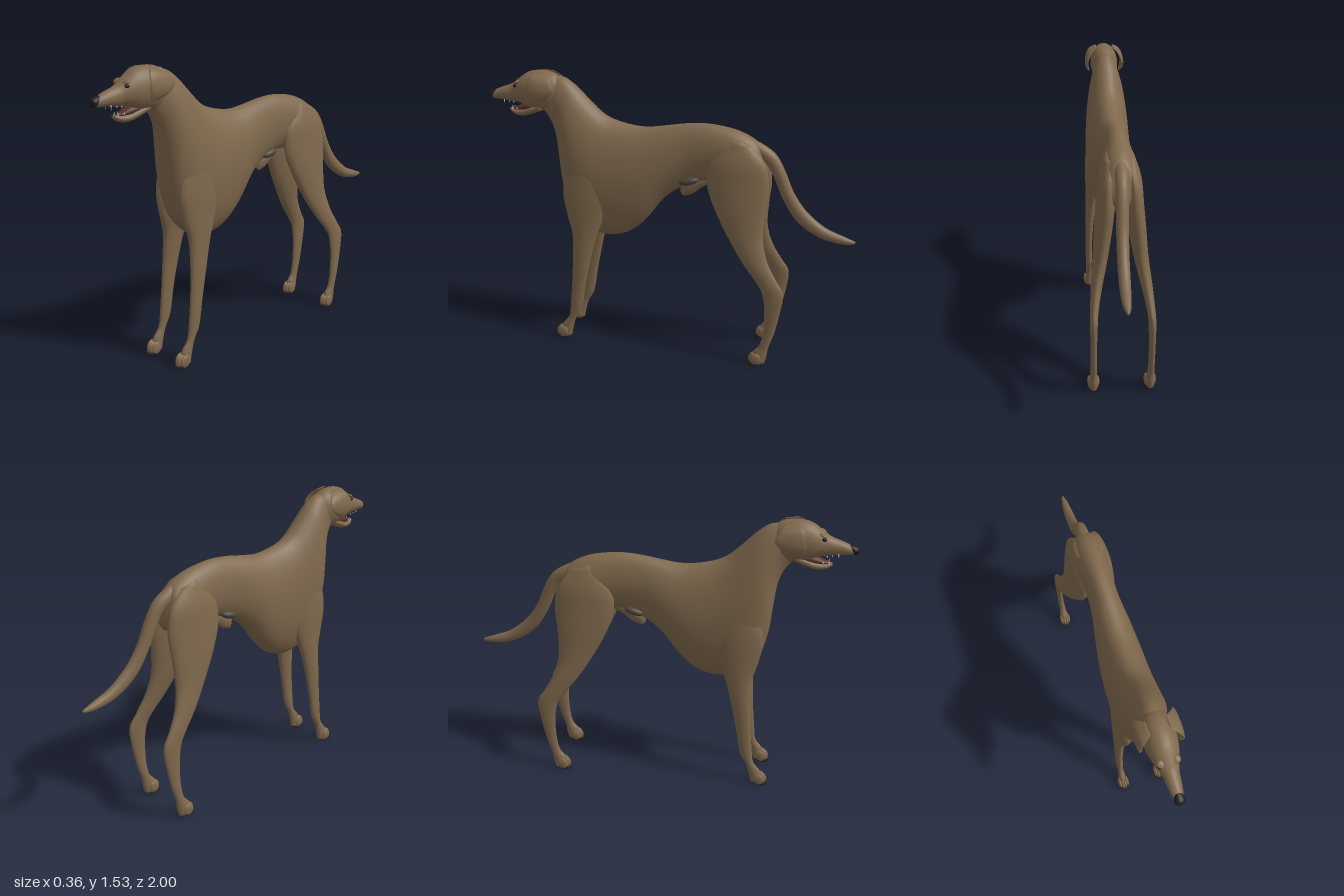
import * as THREE from 'three';

const mat = (name, color) => Object.assign(new THREE.MeshStandardMaterial({ color }), { name });

// Smooth loft. Section: [centre x, z and y of one edge, z and y of the opposite edge, half width]
function loft(sections, segs = 20, sub = 4) {
  const n = sections.length, rings = [], pos = [], idx = [];
  const at = i => sections[Math.max(0, Math.min(n - 1, i))];
  for (let i = 0; i < n - 1; i++) {
    for (let k = 0; k < sub; k++) {
      const t = k / sub;
      rings.push(at(i).map((p1, c) => {
        const p0 = at(i - 1)[c], p2 = at(i + 1)[c], p3 = at(i + 2)[c];
        return 0.5 * (2 * p1 + (p2 - p0) * t + (2 * p0 - 5 * p1 + 4 * p2 - p3) * t * t
          + (3 * p1 - p0 - 3 * p2 + p3) * t * t * t);
      }));
    }
  }
  rings.push(at(n - 1));
  for (const [x, za, ya, zb, yb, w] of rings) {
    for (let j = 0; j < segs; j++) {
      const a = j / segs * Math.PI * 2, c = Math.cos(a);
      pos.push(x + w * Math.sin(a), (ya + yb) / 2 + c * (ya - yb) / 2, (za + zb) / 2 + c * (za - zb) / 2);
    }
  }
  const last = (rings.length - 1) * segs, capA = rings.length * segs, capB = capA + 1;
  for (const r of [rings[0], rings[rings.length - 1]]) pos.push(r[0], (r[2] + r[4]) / 2, (r[1] + r[3]) / 2);
  for (let j = 0; j < segs; j++) {
    const k = (j + 1) % segs;
    for (let o = 0; o < last; o += segs) {
      idx.push(o + j, o + k, o + segs + j, o + k, o + segs + k, o + segs + j);
    }
    idx.push(capA, k, j, capB, last + j, last + k);
  }
  // Turn the faces outward, whichever way the sections run
  const v = i => new THREE.Vector3().fromArray(pos, i * 3), mid = v(capA);
  let volume = 0;
  for (let i = 0; i < idx.length; i += 3) {
    const [a, b, c] = [v(idx[i]).sub(mid), v(idx[i + 1]).sub(mid), v(idx[i + 2]).sub(mid)];
    volume += a.dot(b.cross(c));
  }
  if (volume < 0) idx.reverse();
  const g = new THREE.BufferGeometry();
  g.setAttribute('position', new THREE.Float32BufferAttribute(pos, 3));
  g.setIndex(idx);
  g.computeVertexNormals();
  return g;
}

export function createModel() {
  const model = new THREE.Group();
  model.name = 'dog';
  const coat = mat('brown coat', 0x80694d), black = mat('black nose', 0x1d1a19);
  const claw = mat('dark claws', 0x2a231d), mouth = mat('mouth lining', 0x5a322c);
  const tooth = mat('ivory teeth', 0xd6cebc), skin = mat('grey skin', 0x4c443b);

  const add = (name, geometry, material = coat) => {
    const m = new THREE.Mesh(geometry, material);
    m.name = name;
    model.add(m);
    return m;
  };
  const blob = (name, p, s, material = coat) => {
    const m = add(name, new THREE.SphereGeometry(1, 16, 12), material);
    m.position.set(...p);
    m.scale.set(...s);
    return m;
  };

  // Torso and neck, from rump to throat
  add('torsoAndNeck', loft([
    [0, -0.49, 1.18, -0.525, 1.08, 0.025],
    [0, -0.46, 1.225, -0.515, 1.0, 0.07],
    [0, -0.36, 1.272, -0.37, 0.98, 0.085],
    [0, -0.22, 1.295, -0.22, 0.99, 0.076],
    [0, -0.1, 1.29, -0.1, 0.955, 0.077],
    [0, 0.02, 1.27, 0.02, 0.87, 0.095],
    [0, 0.12, 1.257, 0.12, 0.74, 0.11],
    [0, 0.21, 1.265, 0.22, 0.655, 0.118],
    [0, 0.3, 1.288, 0.34, 0.627, 0.122],
    [0, 0.36, 1.32, 0.45, 0.66, 0.125],
    [0, 0.41, 1.365, 0.545, 0.76, 0.122],
    [0, 0.455, 1.41, 0.585, 0.9, 0.113],
    [0, 0.49, 1.445, 0.6, 1.05, 0.1],
    [0, 0.52, 1.47, 0.615, 1.18, 0.084],
    [0, 0.56, 1.495, 0.645, 1.265, 0.068],
    [0, 0.61, 1.505, 0.69, 1.325, 0.058],
  ], 32));

  // Head with upper muzzle
  add('head', loft([
    [0, 0.55, 1.46, 0.58, 1.34, 0.04],
    [0, 0.61, 1.512, 0.63, 1.31, 0.07],
    [0, 0.69, 1.527, 0.7, 1.315, 0.078],
    [0, 0.76, 1.515, 0.76, 1.325, 0.07],
    [0, 0.82, 1.475, 0.81, 1.345, 0.054],
    [0, 0.86, 1.447, 0.85, 1.35, 0.04],
    [0, 0.92, 1.425, 0.915, 1.358, 0.032],
    [0, 0.965, 1.405, 0.96, 1.36, 0.024],
    [0, 0.985, 1.393, 0.98, 1.368, 0.014],
  ], 28));
  add('nose', loft([
    [0, 0.95, 1.412, 0.965, 1.375, 0.02],
    [0, 0.968, 1.409, 0.975, 1.362, 0.025],
    [0, 0.988, 1.402, 0.988, 1.363, 0.022],
    [0, 1.0, 1.388, 0.999, 1.375, 0.007],
  ]), black);
  add('lowerJaw', loft([
    [0, 0.69, 1.36, 0.69, 1.31, 0.045],
    [0, 0.75, 1.338, 0.75, 1.288, 0.042],
    [0, 0.8, 1.318, 0.8, 1.275, 0.035],
    [0, 0.845, 1.312, 0.845, 1.28, 0.027],
    [0, 0.875, 1.315, 0.875, 1.298, 0.012],
  ]));
  add('mouthLining', loft([
    [0, 0.74, 1.36, 0.74, 1.31, 0.036],
    [0, 0.79, 1.348, 0.79, 1.305, 0.033],
    [0, 0.835, 1.325, 0.835, 1.305, 0.022],
    [0, 0.86, 1.321, 0.86, 1.305, 0.01],
  ]), mouth);

  // Tail
  add('tail', loft([
    [0, -0.42, 1.24, -0.46, 1.13, 0.03],
    [0, -0.5, 1.205, -0.5, 1.12, 0.034],
    [0.003, -0.57, 1.155, -0.53, 1.09, 0.032],
    [0.006, -0.62, 1.07, -0.565, 1.03, 0.031],
    [0.009, -0.67, 0.96, -0.61, 0.93, 0.03],
    [0.012, -0.74, 0.865, -0.69, 0.81, 0.029],
    [0.014, -0.84, 0.785, -0.81, 0.73, 0.027],
    [0.015, -0.94, 0.745, -0.93, 0.703, 0.02],
    [0.015, -1, 0.722, -0.995, 0.708, 0.006],
  ]));

  // Belly sheath
  add('sheath', loft([
    [0, -0.24, 1.03, -0.25, 0.98, 0.012],
    [0, -0.12, 1.0, -0.19, 0.95, 0.022],
    [0, -0.07, 0.95, -0.14, 0.91, 0.02],
    [0, -0.07, 0.905, -0.09, 0.89, 0.007],
  ], 14));

  for (const s of [1, -1]) {
    const side = s > 0 ? 'left' : 'right';
    const sided = list => list.map(([x, ...rest]) => [x * s, ...rest]);

    // Drooping ear, eye and brow
    add(side + 'Ear', loft(sided([
      [0.05, 0.7, 1.522, 0.63, 1.515, 0.006],
      [0.082, 0.725, 1.5, 0.605, 1.485, 0.012],
      [0.1, 0.735, 1.455, 0.588, 1.44, 0.01],
      [0.1, 0.735, 1.41, 0.625, 1.4, 0.009],
      [0.088, 0.722, 1.37, 0.675, 1.375, 0.005],
    ]), 16));
    blob(side + 'Eye', [0.043 * s, 1.444, 0.822], [0.009, 0.009, 0.013], black);
    const brow = blob(side + 'Brow', [0.037 * s, 1.463, 0.817], [0.017, 0.008, 0.02]);
    brow.rotation.x = 0.5;

    // Teeth: a long fang above and below, and small ones behind
    for (const [z, x, y, h] of [[0.9, 0.022, 1.353, -0.022], [0.87, 0.024, 1.352, -0.01],
      [0.845, 0.027, 1.35, -0.01], [0.858, 0.014, 1.32, 0.02], [0.83, 0.024, 1.32, 0.01]]) {
      const t = add(side + 'Tooth', new THREE.ConeGeometry(0.004, Math.abs(h), 8), tooth);
      t.position.set(x * s, y, z);
      if (h < 0) t.rotation.x = Math.PI;
    }

    blob(side + 'FlankPatch', [0.043 * s, 0.99, -0.12], [0.03, 0.022, 0.055], skin).rotation.x = 0.25;

    // Legs, from shoulder or hip down
    add(side + 'FrontLeg', loft(sided([
      [0.055, 0.42, 1.22, 0.36, 1.22, 0.02],
      [0.078, 0.52, 1.06, 0.31, 1.06, 0.04],
      [0.086, 0.565, 0.9, 0.31, 0.88, 0.043],
      [0.09, 0.545, 0.76, 0.345, 0.74, 0.04],
      [0.098, 0.518, 0.65, 0.385, 0.63, 0.033],
      [0.107, 0.52, 0.5, 0.42, 0.49, 0.025],
      [0.111, 0.53, 0.35, 0.452, 0.34, 0.02],
      [0.112, 0.543, 0.22, 0.478, 0.2, 0.019],
      [0.112, 0.555, 0.14, 0.515, 0.13, 0.016],
      [0.112, 0.595, 0.085, 0.535, 0.06, 0.02],
      [0.112, 0.6, 0.03, 0.545, 0.015, 0.022],
    ])));
    add(side + 'HindLeg', loft(sided([
      [0.045, -0.34, 1.24, -0.44, 1.21, 0.025],
      [0.062, -0.24, 1.12, -0.52, 1.12, 0.042],
      [0.07, -0.225, 0.99, -0.545, 1.0, 0.046],
      [0.083, -0.27, 0.86, -0.535, 0.87, 0.045],
      [0.1, -0.345, 0.72, -0.53, 0.73, 0.038],
      [0.122, -0.43, 0.59, -0.56, 0.61, 0.03],
      [0.138, -0.51, 0.49, -0.615, 0.51, 0.022],
      [0.144, -0.545, 0.43, -0.655, 0.44, 0.019],
      [0.146, -0.562, 0.33, -0.645, 0.33, 0.017],
      [0.147, -0.56, 0.2, -0.62, 0.2, 0.016],
      [0.147, -0.545, 0.12, -0.593, 0.11, 0.018],
      [0.147, -0.515, 0.08, -0.585, 0.05, 0.022],
      [0.147, -0.51, 0.025, -0.575, 0.012, 0.022],
    ])));

    // Paws: four arched toes with claws and a dark pad
    for (const [part, px, pz] of [['Front', 0.112, 0.595], ['Hind', 0.147, -0.525]]) {
      for (let i = 0; i < 4; i++) {
        const u = i - 1.5, x = s * px + u * 0.014, z = pz - Math.abs(u) * 0.01 + 0.012;
        blob(side + part + 'Toe', [x, 0.04, z], [0.0105, 0.034, 0.03]).rotation.x = -0.35;
        blob(side + part + 'Claw', [x, 0.016, z + 0.024], [0.006, 0.012, 0.014], claw);
      }
      blob(side + part + 'Pad', [s * px, 0.01, pz], [0.026, 0.01, 0.04], claw);
    }
  }
  return model;
}
